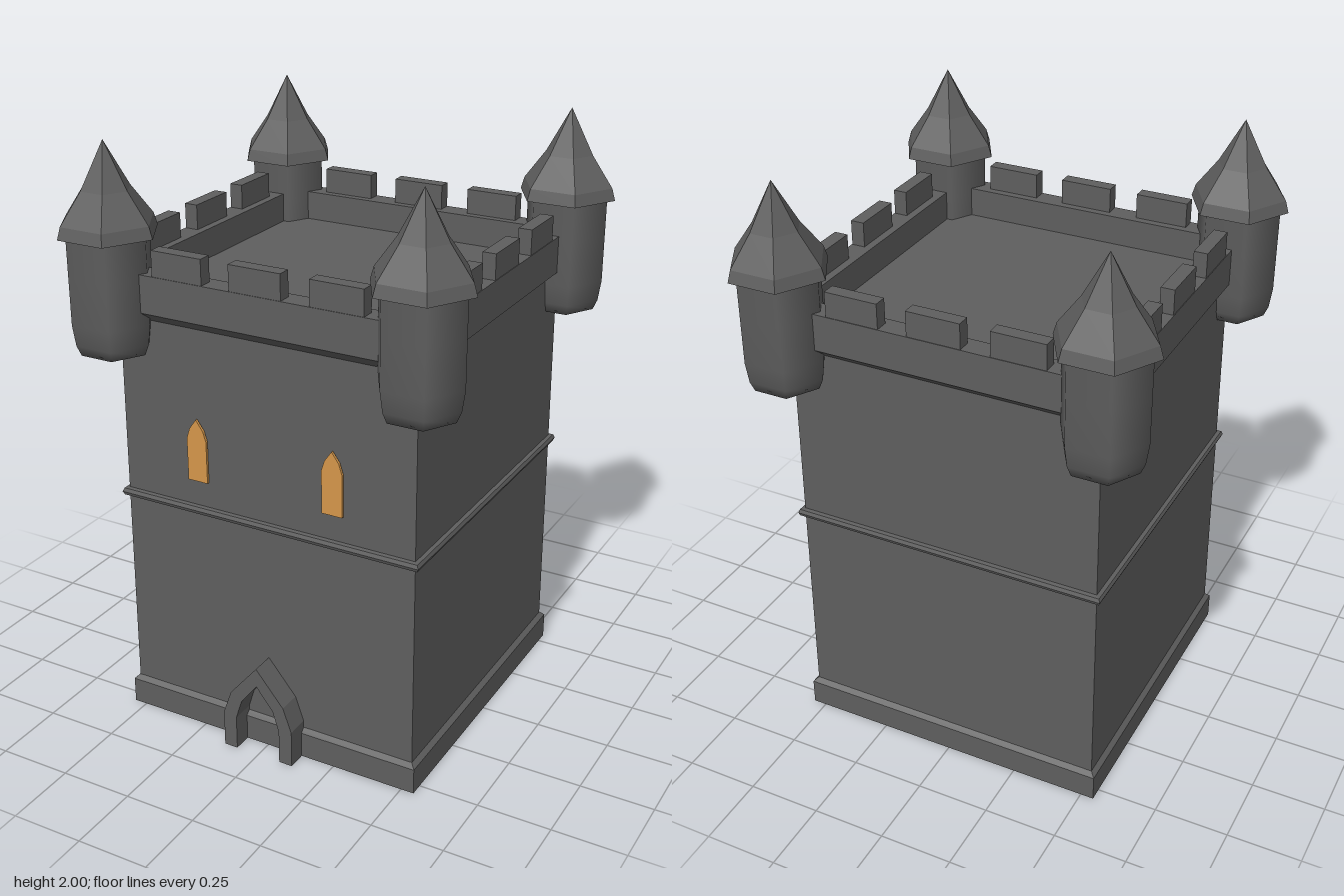
import * as THREE from 'three';

const stone = new THREE.MeshStandardMaterial({ color: 0x5e5e5e });
stone.name = 'stone';
const glow = new THREE.MeshStandardMaterial({ color: 0xd4964a });
glow.name = 'windowGlow';

const points = (list) => list.map(([a, b]) => new THREE.Vector2(a, b));

function add(parent, name, geometry, material = stone) {
  const mesh = new THREE.Mesh(geometry, material);
  mesh.name = name;
  parent.add(mesh);
  return mesh;
}

// Faceted n-sided solid turned from [radius, y] points, bottom to top
function faceted(profile, sides, start) {
  const g = new THREE.LatheGeometry(points(profile), sides, start).toNonIndexed();
  g.computeVertexNormals();
  return g;
}

// Square ring or block from [half width, y] points
const square = (profile) =>
  faceted(profile.map(([w, y]) => [w * Math.SQRT2, y]), 4, Math.PI / 4);

// Extruded outline whose back sits at z = back
function slab(outline, depth, back, hole) {
  const shape = new THREE.Shape(points(outline));
  if (hole) shape.holes.push(new THREE.Path(points(hole)));
  const g = new THREE.ExtrudeGeometry(shape, { depth, bevelEnabled: false });
  return g.translate(0, 0, back);
}

export function createModel() {
  const keep = new THREE.Group();
  keep.name = 'keep';

  // Main block, plinth and string course
  add(keep, 'walls', square([[0.53, 0.05], [0.525, 1.46]]));
  add(keep, 'plinth', square([[0, 0], [0.545, 0], [0.545, 0.09], [0.53, 0.105]]));
  add(keep, 'stringCourse', square([
    [0.525, 0.805], [0.54, 0.808], [0.545, 0.82], [0.54, 0.832], [0.525, 0.835],
  ]));

  // Flared parapet with sunken roof deck
  add(keep, 'parapet', square([
    [0.525, 1.44], [0.565, 1.475], [0.565, 1.6], [0.49, 1.6], [0.49, 1.5], [0, 1.5],
  ]));

  // Three battlements on each side
  for (let side = 0; side < 4; side++) {
    const row = new THREE.Group();
    row.name = 'battlements';
    row.rotation.y = side * Math.PI / 2;
    for (const x of [-0.277, 0, 0.277]) {
      add(row, 'battlement', new THREE.BoxGeometry(0.18, 0.095, 0.046))
        .position.set(x, 1.637, 0.54);
    }
    keep.add(row);
  }

  // Hexagonal corner turrets with bell-shaped roofs
  const shaft = new THREE.LatheGeometry(points([
    [0, 1.325], [0.115, 1.325], [0.13, 1.36], [0.14, 1.43], [0.14, 1.58], [0.14, 1.715],
  ]), 6, Math.PI / 6);
  const roof = faceted([
    [0, 1.71], [0.167, 1.71], [0.155, 1.75], [0.082, 1.85], [0, 2],
  ], 6, Math.PI / 6);
  for (const x of [-0.54, 0.54]) {
    for (const z of [-0.54, 0.54]) {
      const turret = new THREE.Group();
      turret.name = 'turret';
      turret.position.set(x, 0, z);
      add(turret, 'turretShaft', shaft);
      add(turret, 'turretRoof', roof);
      keep.add(turret);
    }
  }

  // Pointed door arch, open at the foot
  add(keep, 'doorArch', slab([
    [-0.13, 0], [-0.082, 0], [-0.082, 0.12], [-0.06, 0.19], [0, 0.267],
    [0.06, 0.19], [0.082, 0.12], [0.082, 0], [0.13, 0], [0.13, 0.13],
    [0.1, 0.215], [0, 0.335], [-0.1, 0.215], [-0.13, 0.13],
  ], 0.09, 0.52));

  // Lancet windows
  for (const x of [-0.245, 0.245]) {
    add(keep, 'window', slab([
      [-0.036, 0.925], [0.036, 0.925], [0.036, 1.07], [0.025, 1.105],
      [0, 1.14], [-0.025, 1.105], [-0.036, 1.07],
    ], 0.009, 0.53), glow).position.x = x;
  }

  return keep;
}
